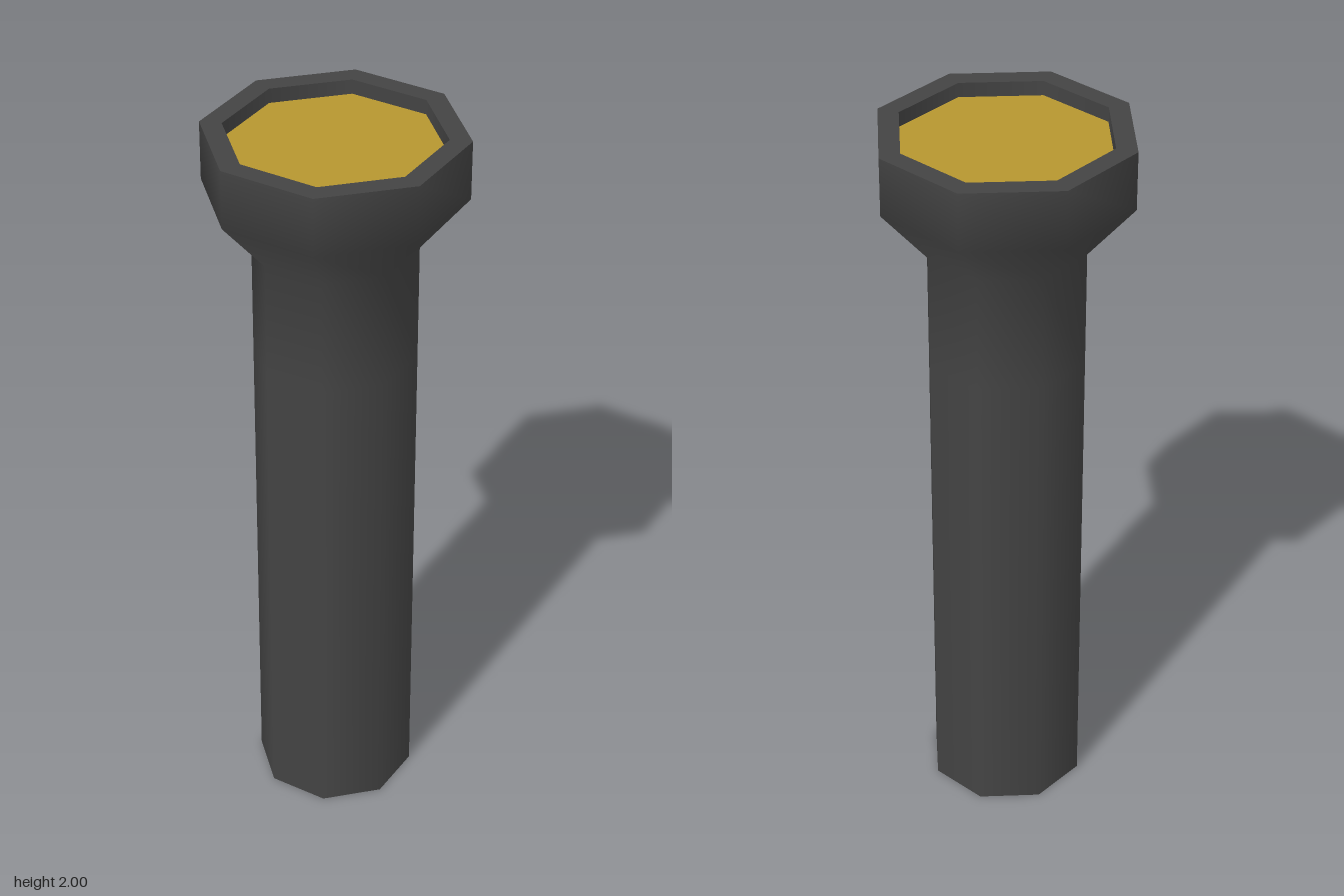
import * as THREE from 'three';

const SIDES = 8;

export function createModel() {
  const group = new THREE.Group();
  const casing = new THREE.MeshStandardMaterial({ color: 0x444444 });
  casing.name = 'dark casing';
  const amber = new THREE.MeshStandardMaterial({ color: 0xb6962f });
  amber.name = 'amber lens';

  const add = (name, geometry, material) => {
    const mesh = new THREE.Mesh(geometry, material);
    mesh.name = name;
    group.add(mesh);
    return mesh;
  };
  const lathe = (points) =>
    new THREE.LatheGeometry(points.map(([r, y]) => new THREE.Vector2(r, y)), SIDES);
  const disc = (radius, y, up) =>
    new THREE.CircleGeometry(radius, SIDES).rotateX(up ? -Math.PI / 2 : Math.PI / 2).translate(0, y, 0);

  // Handle flowing smoothly into the flared head
  add('body', lathe([[0.215, 0], [0.215, 1.37], [0.215, 1.69], [0.34, 1.84], [0.34, 2]]), casing);
  add('endCap', disc(0.215, 0, false), casing);

  // Flat rim and the wall of the shallow recess inside it
  add('rim', lathe([[0.34, 2], [0.283, 2]]), casing);
  add('recessWall', lathe([[0.283, 2], [0.283, 1.96]]), casing);

  // Lens at the bottom of the recess
  add('lens', disc(0.283, 1.96, true), amber);

  return group;
}
